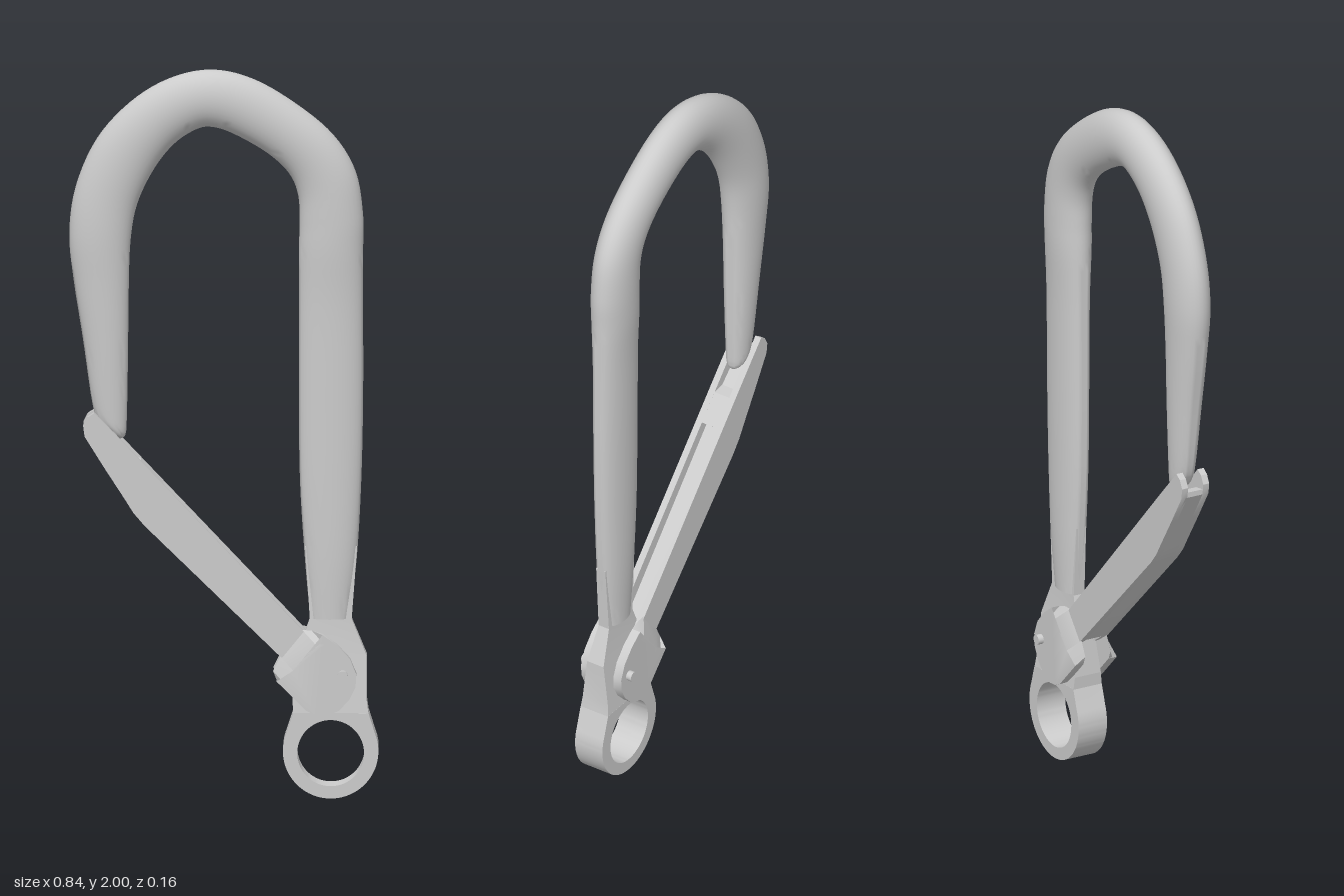
import * as THREE from 'three';
import { toCreasedNormals } from 'three/addons/utils/BufferGeometryUtils.js';

const material = new THREE.MeshStandardMaterial({ color: 0xcccccc });

function add(parent, name, geometry) {
  const mesh = new THREE.Mesh(geometry, material);
  mesh.name = name;
  parent.add(mesh);
  return mesh;
}

// Closed skin over a list of rings with equal point counts, capped at both ends.
function loft(rings, crease) {
  const n = rings[0].length, last = (rings.length - 1) * n, index = [];
  for (let i = 0; i < rings.length - 1; i++) {
    for (let j = 0; j < n; j++) {
      const a = i * n + j, b = i * n + (j + 1) % n;
      index.push(a, b, a + n, b, b + n, a + n);
    }
  }
  for (let j = 1; j < n - 1; j++) {
    index.push(0, j + 1, j, last, last + j, last + j + 1);
  }
  const g = new THREE.BufferGeometry();
  g.setAttribute('position', new THREE.Float32BufferAttribute(rings.flat(2), 3));
  g.setIndex(index);
  return toCreasedNormals(g, crease);
}

const toShape = pts => new THREE.Shape(pts.map(p => new THREE.Vector2(...p)));

// Flat plate between two depths.
function plate(shape, z0, z1, curveSegments = 24) {
  const g = new THREE.ExtrudeGeometry(shape, { depth: z1 - z0, bevelEnabled: false, curveSegments });
  g.translate(0, 0, z0);
  return toCreasedNormals(g, 0.5);
}

// Hook and spine: outer x, outer y, inner x, inner y, half depth.
const stations = [
  [-0.318, 1.0, -0.282, 0.983, 0.012],
  [-0.338, 1.025, -0.267, 0.995, 0.027],
  [-0.357, 1.08, -0.263, 1.05, 0.033],
  [-0.383, 1.26, -0.26, 1.22, 0.042],
  [-0.408, 1.42, -0.258, 1.4, 0.049],
  [-0.42, 1.55, -0.253, 1.53, 0.055],
  [-0.402, 1.68, -0.235, 1.63, 0.055],
  [-0.345, 1.81, -0.19, 1.725, 0.055],
  [-0.255, 1.91, -0.135, 1.795, 0.055],
  [-0.15, 1.975, -0.075, 1.835, 0.055],
  [-0.035, 2.0, -0.03, 1.842, 0.055],
  [0.08, 1.975, 0.03, 1.822, 0.055],
  [0.2, 1.905, 0.12, 1.77, 0.055],
  [0.3, 1.82, 0.178, 1.715, 0.055],
  [0.36, 1.72, 0.203, 1.655, 0.055],
  [0.38, 1.6, 0.207, 1.58, 0.055],
  [0.38, 1.5, 0.205, 1.5, 0.053],
  [0.38, 1.35, 0.205, 1.35, 0.045],
  [0.38, 1.1, 0.205, 1.1, 0.042],
  [0.375, 0.87, 0.208, 0.87, 0.04],
  [0.363, 0.66, 0.221, 0.66, 0.037],
  [0.342, 0.49, 0.236, 0.49, 0.03],
];

function bodyGeometry() {
  const curve = f => new THREE.CatmullRomCurve3(stations.map(f), false, 'catmullrom');
  const outer = curve(s => new THREE.Vector3(s[0], s[1], s[4]));
  const inner = curve(s => new THREE.Vector3(s[2], s[3], 0));
  const rings = [], steps = (stations.length - 1) * 5, sides = 32;
  for (let i = 0; i <= steps; i++) {
    const o = outer.getPoint(i / steps), p = inner.getPoint(i / steps), ring = [];
    for (let j = 0; j < sides; j++) {
      const a = j / sides * Math.PI * 2, k = (1 + Math.cos(a)) / 2;
      ring.push([p.x + (o.x - p.x) * k, p.y + (o.y - p.y) * k, Math.sin(a) * o.z]);
    }
    rings.push(ring);
  }
  return loft(rings, 0.9);
}

export function createModel() {
  const model = new THREE.Group();
  add(model, 'hookBody', bodyGeometry());

  // Ring eye with shoulders that carry the lug
  const ring = new THREE.Shape();
  ring.moveTo(0.395, 0.235);
  ring.lineTo(0.19, 0.235);
  ring.absarc(0.292, 0.13, 0.13, Math.PI * 0.88, Math.PI * 2.12, false);
  ring.closePath();
  const hole = new THREE.Path();
  hole.absarc(0.292, 0.125, 0.091, 0, Math.PI * 2, true);
  ring.holes.push(hole);
  add(model, 'ringEye', plate(ring, -0.045, 0.045, 32));

  // Tapered lug and the tongue running into the spine: y, left x, right x, half depth
  const lug = [
    [0.233, 0.19, 0.395, 0.045],
    [0.27, 0.188, 0.39, 0.041],
    [0.39, 0.2, 0.39, 0.027],
    [0.49, 0.235, 0.349, 0.017],
    [0.69, 0.222, 0.364, 0.015],
  ].map(([y, l, r, d]) => [[l, y, -d], [l, y, d], [r, y, d], [r, y, -d]]);
  add(model, 'lug', loft(lug, 0.15));

  // Gate: two side walls joined by a recessed floor
  const gate = new THREE.Group();
  gate.name = 'gate';
  model.add(gate);
  const wall = toShape([
    [-0.352, 1.06], [-0.37, 1.048], [-0.382, 1.025], [-0.378, 0.995], [-0.325, 0.91],
    [-0.27, 0.825], [-0.245, 0.785], [-0.215, 0.75], [0.155, 0.39], [0.2, 0.36],
    [0.25, 0.42], [0.215, 0.463], [-0.27, 0.975],
  ]);
  const floor = toShape([
    [-0.378, 1.01], [-0.378, 0.995], [-0.325, 0.91], [-0.27, 0.825], [-0.245, 0.785],
    [-0.215, 0.75], [0.155, 0.39], [0.2, 0.43], [-0.185, 0.843], [-0.163, 0.862],
    [-0.225, 0.927], [-0.262, 0.93], [-0.345, 1.005],
  ]);
  add(gate, 'gateFloor', plate(floor, -0.03, 0.03));

  const earShape = toShape([
    [0.155, 0.39], [0.135, 0.35], [0.145, 0.325], [0.225, 0.245], [0.25, 0.232],
    [0.28, 0.229], [0.315, 0.245], [0.343, 0.275], [0.36, 0.31], [0.362, 0.345],
    [0.345, 0.387], [0.31, 0.425], [0.27, 0.453], [0.24, 0.462], [0.215, 0.463],
  ]);
  for (const side of [1, -1]) {
    const [a, b] = side > 0 ? [0.024, 0.043] : [-0.043, -0.024];
    add(gate, 'gateWall', plate(wall, a, b));

    // Hinge ear, its outer face sloping down to the gate wall
    const [c, d] = side > 0 ? [0.04, 0.066] : [-0.066, -0.04];
    let ear = plate(earShape, c, d);
    const p = ear.attributes.position;
    for (let i = 0; i < p.count; i++) {
      if (p.getZ(i) * side > 0.05 && p.getY(i) - p.getX(i) > 0.2) {
        p.setXY(i, p.getX(i) + 0.035, p.getY(i) - 0.035);
      }
    }
    add(gate, 'hingeEar', toCreasedNormals(ear, 0.5));
  }

  // Hinge pin
  const pin = add(model, 'hingePin', new THREE.CylinderGeometry(0.014, 0.014, 0.164, 20));
  pin.rotation.x = Math.PI / 2;
  pin.position.set(0.325, 0.342, 0);

  return model;
}
